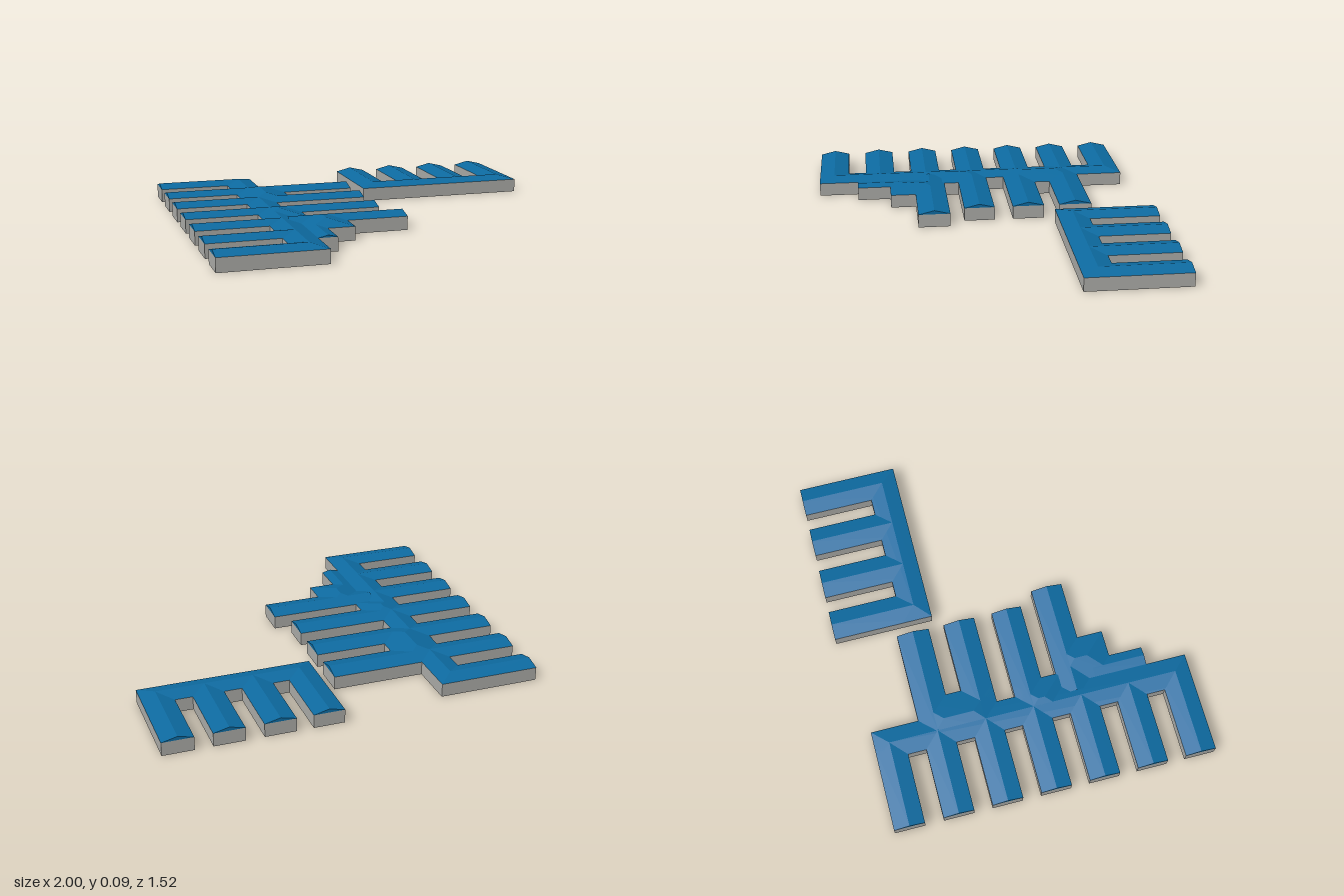
import * as THREE from 'three';

const EAVE = 0.06, SLOPE = 0.243, TURN = 0.2367;
const wallMat = new THREE.MeshStandardMaterial({ color: 0xa9a9a5, side: THREE.DoubleSide });
wallMat.name = 'grey wall';
const roofMat = new THREE.MeshStandardMaterial({ color: 0x0d6aa0, side: THREE.DoubleSide });
roofMat.name = 'blue roof';

function meshFrom(points, material, name) {
  const geo = new THREE.BufferGeometry();
  geo.setAttribute('position', new THREE.Float32BufferAttribute(points.flat(), 3));
  geo.computeVertexNormals();
  const mesh = new THREE.Mesh(geo, material);
  mesh.name = name;
  return mesh;
}

// Vertical walls along a plan outline
function walls(outline, name) {
  const pts = [];
  outline.forEach(([x, z], i) => {
    const [u, w] = outline[(i + 1) % outline.length];
    const a = [x, 0, z], b = [u, 0, w], c = [u, EAVE, w], d = [x, EAVE, z];
    pts.push(b, a, d, b, d, c);
  });
  return meshFrom(pts, wallMat, name);
}

// Pitched roof over a rectangle; each end is 'hip', 'gable' or 'open'
function roof(name, x0, x1, z0, z1, alongX, startEnd, finishEnd) {
  const [l0, l1, w0, w1] = alongX ? [x0, x1, z0, z1] : [z0, z1, x0, x1];
  const half = (w1 - w0) / 2, mid = (w0 + w1) / 2, top = EAVE + half * SLOPE;
  const P = (l, y, w) => (alongX ? [l, y, w] : [w, y, l]);
  const a = P(l0, EAVE, w0), b = P(l1, EAVE, w0), c = P(l1, EAVE, w1), d = P(l0, EAVE, w1);
  const r0 = P(l0 + (startEnd === 'hip' ? half : 0), top, mid);
  const r1 = P(l1 - (finishEnd === 'hip' ? half : 0), top, mid);
  const tris = [[d, c, r1], [d, r1, r0], [b, a, r0], [b, r0, r1]];
  if (startEnd !== 'open') tris.push([a, d, r0]);
  if (finishEnd !== 'open') tris.push([c, b, r1]);
  if (!alongX) tris.forEach((t) => t.reverse());
  return meshFrom(tris.flat(), roofMat, name);
}

export function createModel() {
  const model = new THREE.Group();
  model.name = 'buildingComplex';
  const site = new THREE.Group();
  site.name = 'site';
  site.rotation.y = -TURN;
  model.add(site);

  // Main building: a spine with seven wings on one side and three on the other
  const wingStart = (i) => -0.583 + i * 0.2195;
  const W = 0.137;
  const main = [
    [-0.368, -0.583], [-0.368, -0.368], [0.042, -0.368], [0.042, -0.22],
    [-0.28, -0.22], [-0.28, -0.15], [0.042, -0.15], [0.042, -0.007],
    [-0.368, -0.007], [-0.368, 0.076], [0.042, 0.076], [0.042, 0.214],
    [-0.31, 0.214], [-0.31, 0.281], [-0.368, 0.281], [-0.368, 0.871],
  ];
  for (let i = 6; i >= 0; i--) {
    const z = wingStart(i);
    if (i < 6) main.push([-0.505, z + W]);
    main.push([-0.818, z + W], [-0.818, z]);
    if (i > 0) main.push([-0.505, z]);
    site.add(roof('westWingRoof', -0.818, -0.436, z, z + W, true, 'gable', 'open'));
  }
  site.add(walls(main, 'mainWalls'));
  site.add(roof('spineRoof', -0.505, -0.368, -0.583, 0.871, false, 'hip', 'hip'));
  for (const [z0, z1] of [[-0.368, -0.22], [-0.15, -0.007], [0.076, 0.214]]) {
    site.add(roof('eastWingRoof', -0.436, 0.042, z0, z1, true, 'open', 'gable'));
  }
  // Wider, higher stretches of the spine
  site.add(roof('upperHallRoof', -0.505, -0.28, -0.368, -0.007, false, 'hip', 'hip'));
  site.add(roof('lowerHallRoof', -0.505, -0.31, 0.076, 0.3, false, 'hip', 'hip'));

  // Stepped annex beside the spine
  site.add(walls([
    [-0.368, 0.281], [0.102, 0.281], [0.102, 0.424], [-0.167, 0.424],
    [-0.167, 0.539], [-0.286, 0.539], [-0.286, 0.69], [-0.368, 0.69],
  ], 'annexWalls'));
  site.add(roof('annexWingRoof', -0.41, 0.102, 0.281, 0.424, true, 'open', 'gable'));
  site.add(roof('annexHallRoof', -0.368, -0.167, 0.281, 0.539, false, 'hip', 'hip'));
  site.add(roof('annexTailRoof', -0.368, -0.286, 0.45, 0.69, false, 'open', 'gable'));

  // Separate comb-shaped building: four arms on a bar
  const arms = [[0.098, 0.235], [0.308, 0.446], [0.525, 0.661], [0.738, 0.874]];
  const comb = [[0.874, -0.191], [0.098, -0.191]];
  arms.forEach(([x0, x1], i) => {
    if (i > 0) comb.push([x0, -0.328]);
    comb.push([x0, -0.643], [x1, -0.643]);
    if (i < 3) comb.push([x1, -0.328]);
    site.add(roof('combArmRoof', x0, x1, -0.643, -0.26, false, 'gable', 'open'));
  });
  site.add(walls(comb, 'combWalls'));
  site.add(roof('combBarRoof', 0.098, 0.874, -0.328, -0.191, true, 'hip', 'hip'));

  return model;
}
